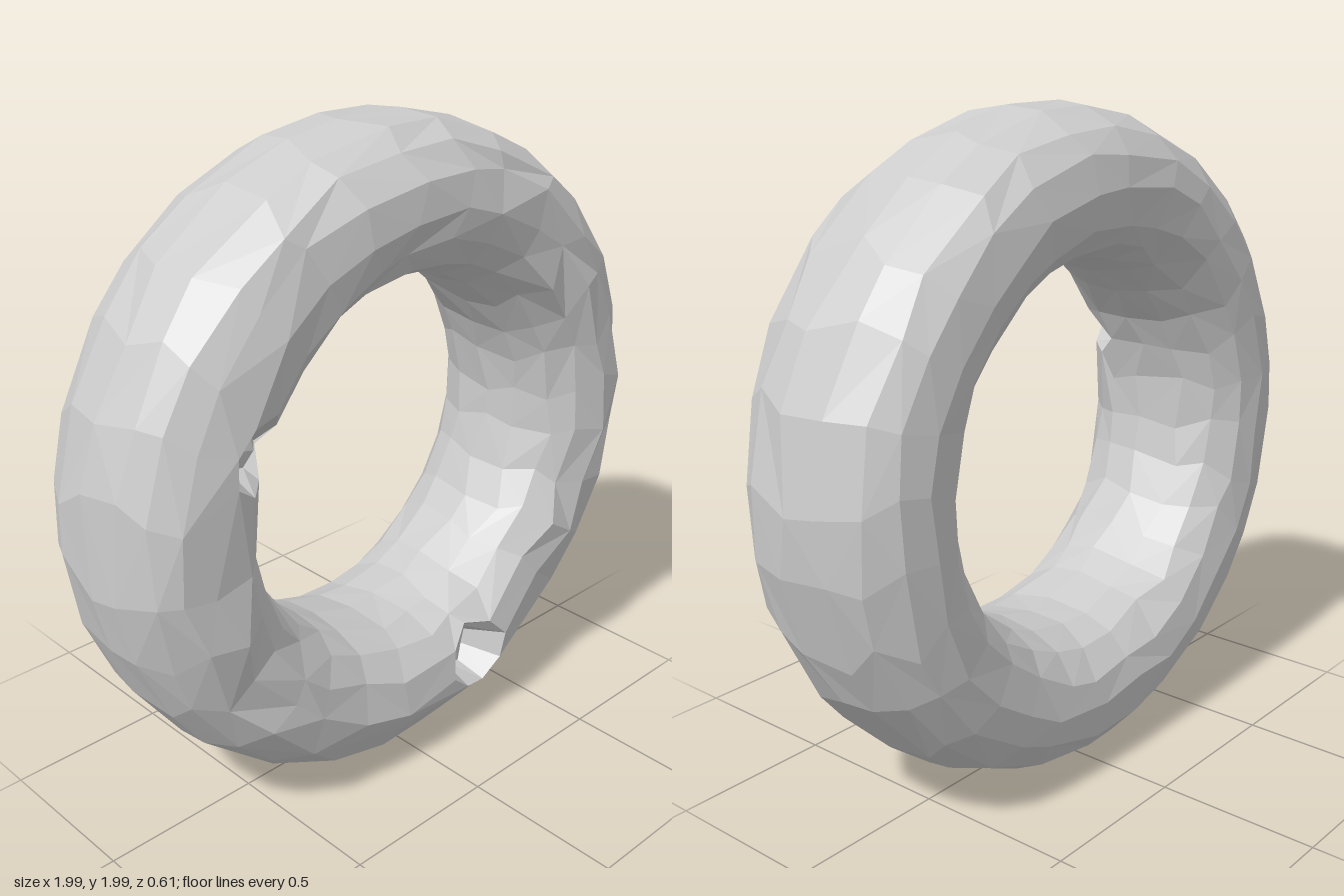
import * as THREE from 'three';

const COLS = 28, ROWS = 16;              // around the ring, around the tube
const RING = 0.772, HALF = 0.228;        // ring radius, radial half width of the tube
const FRONT = 0.285, BACK = 0.308;       // depth of the tube to the front and back
const OFFSET = 0.078;                    // turns the columns so that they meet the pits

// pits: grid node under the centre, position, rim radius, depth
const PITS = [
  { i: 12, j: 5, x: -0.61, y: 0.25, r: 0.115, depth: 0.12 },
  { i: 22, j: 4, x: 0.23, y: -0.72, r: 0.115, depth: 0.12 },
];

function seeded(seed) {
  return () => {
    seed = (seed * 16807) % 2147483647;
    return seed / 2147483647;
  };
}

// slightly boxy ellipse
const boxy = (t) => Math.sign(t) * Math.abs(t) ** 0.88;

function tubePoint(u, v, bump) {
  const r = RING + HALF * boxy(Math.cos(v));
  const s = boxy(Math.sin(v));
  const z = s > 0 ? s * (FRONT + bump) : s * BACK;
  return new THREE.Vector3(r * Math.cos(u), r * Math.sin(u), z);
}

// front height of the tube at a point of the ring plane
function frontHeight(x, y) {
  const t = Math.min(0.97, Math.abs(Math.hypot(x, y) - RING) / HALF);
  return FRONT * (1 - t ** 2.27) ** 0.44;
}

function createRing() {
  const random = seeded(71);
  const jitter = (size) => (random() - 0.5) * size;
  const grid = [];
  for (let i = 0; i < COLS; i++) {
    grid.push([]);
    for (let j = 0; j < ROWS; j++) {
      const u = ((i + jitter(0.42)) / COLS) * Math.PI * 2 + OFFSET;
      const v = ((j + jitter(0.4)) / ROWS) * Math.PI * 2;
      grid[i].push(tubePoint(u, v, jitter(0.035)));
    }
  }

  const positions = [];
  const triangle = (...points) => points.forEach((p) => positions.push(p.x, p.y, p.z));
  const quad = (a, b, c, d, flip) => {
    if (flip) { triangle(a, b, d); triangle(b, c, d); }
    else { triangle(a, b, c); triangle(a, c, d); }
  };

  // open a two by two block of cells for each pit and line it with a cup
  const border = [[1, 0], [1, 1], [0, 1], [-1, 1], [-1, 0], [-1, -1], [0, -1], [1, -1]];
  const skipped = new Set();
  for (const pit of PITS) {
    for (const di of [-1, 0]) for (const dj of [-1, 0]) skipped.add(`${pit.i + di},${pit.j + dj}`);
    const turn = (pit.i / COLS) * Math.PI * 2 + OFFSET;
    const floorZ = frontHeight(pit.x, pit.y) - pit.depth;
    const rim = [], base = [];
    border.forEach(([di, dj], k) => {
      // +i runs along the ring, +j runs towards the hole
      const a = turn + Math.PI / 2 + (k / border.length) * Math.PI * 2;
      const r = pit.r * (1 + jitter(0.2));
      const x = pit.x + r * Math.cos(a), y = pit.y + r * Math.sin(a);
      const p = grid[pit.i + di][pit.j + dj].set(x, y, frontHeight(x, y) + 0.01);
      rim.push(p);
      base.push(new THREE.Vector3(
        pit.x + (x - pit.x) * 0.6, pit.y + (y - pit.y) * 0.6 - 0.015, floorZ + jitter(0.03)));
    });
    const middle = new THREE.Vector3(pit.x, pit.y - 0.02, floorZ + 0.02);
    rim.forEach((p, k) => {
      const n = (k + 1) % rim.length;
      quad(p, rim[n], base[n], base[k], k % 2);
      triangle(base[k], base[n], middle);
    });
  }

  // skin of the tube
  for (let i = 0; i < COLS; i++) {
    for (let j = 0; j < ROWS; j++) {
      if (skipped.has(`${i},${j}`)) continue;
      const i2 = (i + 1) % COLS, j2 = (j + 1) % ROWS;
      quad(grid[i][j], grid[i2][j], grid[i2][j2], grid[i][j2], random() < 0.5);
    }
  }

  const geometry = new THREE.BufferGeometry();
  geometry.setAttribute('position', new THREE.Float32BufferAttribute(positions, 3));
  geometry.computeVertexNormals();
  return geometry;
}

export function createModel() {
  const group = new THREE.Group();
  const material = new THREE.MeshStandardMaterial({ color: 0xcccccc, flatShading: true });
  const ring = new THREE.Mesh(createRing(), material);
  ring.name = 'pittedRing';
  ring.position.y = 1;
  group.add(ring);
  return group;
}
